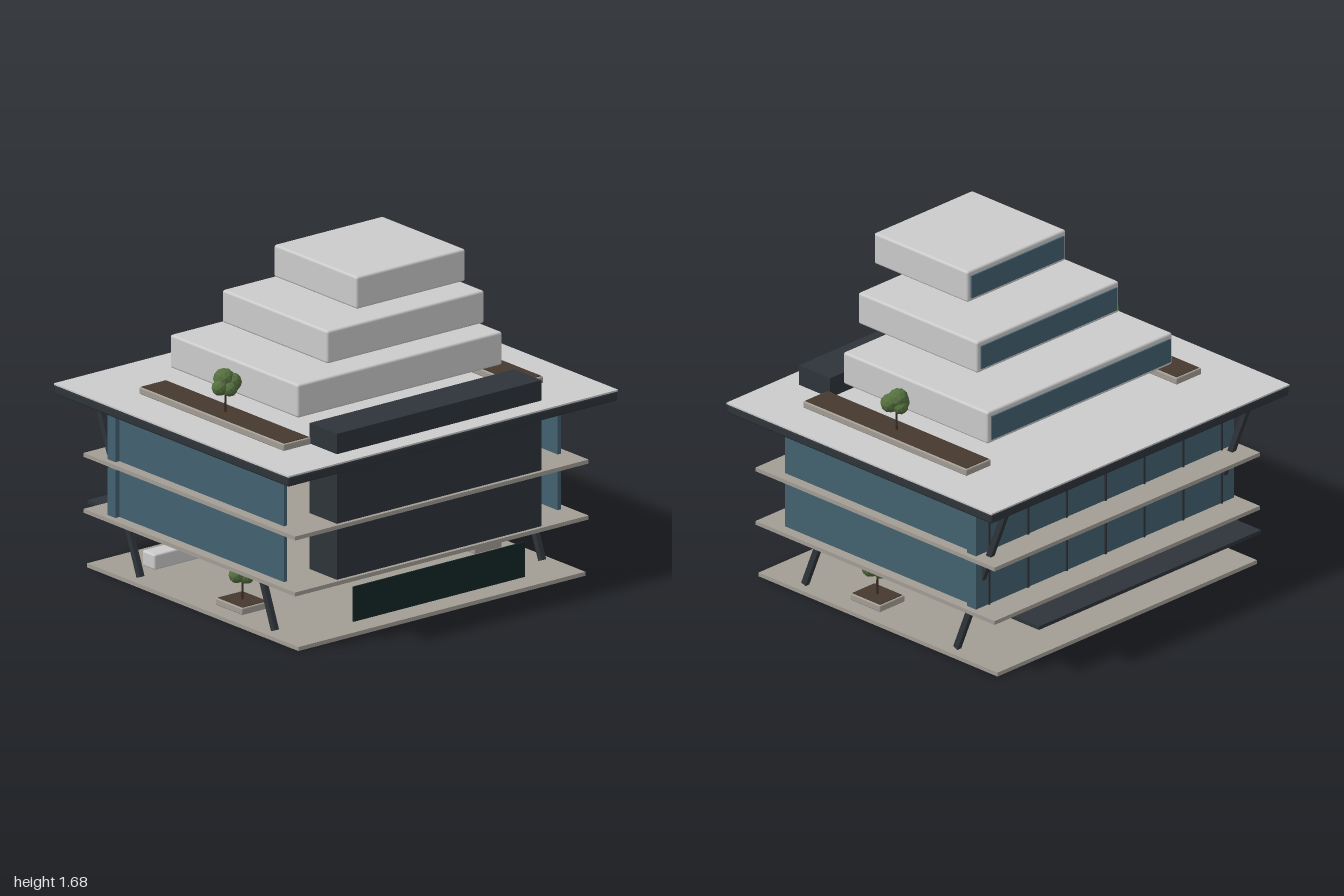
import * as THREE from 'three';
import { RoundedBoxGeometry } from 'three/addons/geometries/RoundedBoxGeometry.js';

const mat = (color, flatShading = false) => new THREE.MeshStandardMaterial({ color, flatShading });

export function createModel() {
  const model = new THREE.Group();
  model.name = 'building';

  const light = mat(0xcccccc);
  const slab = mat(0xa39d94);
  const dark = mat(0x2e343a);
  const glass = mat(0x436170);
  const screen = mat(0x142626);
  const soil = mat(0x46392f);
  const trunkMat = mat(0x3b2f26);
  const leaf = mat(0x55703f, true);

  // Box given by its extents; a radius rounds the edges
  function block(name, material, [x0, x1], [y0, y1], [z0, z1], radius = 0, parent = model) {
    const size = [x1 - x0, y1 - y0, z1 - z0];
    const geometry = radius
      ? new RoundedBoxGeometry(...size, 3, radius)
      : new THREE.BoxGeometry(...size);
    const mesh = new THREE.Mesh(geometry, material);
    mesh.name = name;
    mesh.position.set((x0 + x1) / 2, (y0 + y1) / 2, (z0 + z1) / 2);
    parent.add(mesh);
    return mesh;
  }

  // Ground plate and floor slabs
  block('groundSlab', slab, [-0.87, 0.87], [0, 0.02], [-0.755, 0.82]);
  for (const y of [0.275, 0.553, 0.84]) {
    block('floorSlab', slab, [-0.89, 0.89], [y, y + 0.02], [-0.755, 0.82]);
  }

  // Roof: dark fascia with a pale deck
  block('roofFascia', dark, [-1, 1], [0.863, 0.914], [-0.843, 0.905], 0.012);
  block('roofDeck', light, [-1, 1], [0.911, 0.919], [-0.843, 0.905]);

  // Solid core at the front
  block('frontCore', dark, [-0.62, 0.62], [0.295, 1.02], [0.595, 0.8]);

  // Glazing of the two upper storeys
  for (const [y0, y1] of [[0.298, 0.533], [0.575, 0.813]]) {
    block('rearGlazing', glass, [-0.865, 0.865], [y0, y1], [-0.608, -0.55]);
    for (const s of [-1, 1]) {
      const x = s * 0.83;
      block('sideGlazing', glass, [x - 0.01, x + 0.01], [y0, y1], [-0.55, 0.675]);
    }
    for (let i = -3; i <= 3; i++) {
      block('mullion', dark, [i * 0.26 - 0.005, i * 0.26 + 0.005], [y0, y1], [-0.616, -0.606]);
    }
  }

  // Raking columns, leaning backwards from the ground to the roof
  const rise = 0.82, lean = -0.325;
  for (const x of [-0.81, 0.81]) {
    for (const z of [0.572, -0.43]) {
      const column = new THREE.Mesh(
        new THREE.BoxGeometry(0.026, Math.hypot(rise, lean), 0.03), dark);
      column.name = 'rakingColumn';
      column.position.set(x, 0.025 + rise / 2, z + lean / 2);
      column.rotation.x = Math.atan2(lean, rise);
      model.add(column);
    }
  }

  // Ground floor: front screen, rear entrance canopy and bench
  block('frontScreen', screen, [-0.52, 0.52], [0.065, 0.238], [0.793, 0.801]);
  block('entranceCanopy', dark, [-0.745, 0.745], [0.25, 0.268], [-0.905, -0.65]);
  block('bench', light, [-0.7, -0.295], [0.025, 0.102], [-0.555, -0.46], 0.01);

  // Stepped floating volumes with a glazed rear face
  const tiers = [
    [0.62, 1.02, 1.185, -0.445, 0.51],
    [0.476, 1.27, 1.432, -0.235, 0.553],
    [0.33, 1.52, 1.68, -0.028, 0.592],
  ];
  for (const [w, y0, y1, z0, z1] of tiers) {
    block('terraceVolume', light, [-w, w], [y0, y1], [z0, z1], 0.012);
    block('terraceGlazing', glass, [-w + 0.02, w - 0.02], [y0 + 0.02, y1 - 0.025], [z0 - 0.008, z0 + 0.004]);
  }

  // Tree: slim trunk and a cluster of faceted crowns
  const crowns = [
    [0, 0.165, -0.01, 0.052],
    [0.032, 0.148, 0.012, 0.046],
    [-0.036, 0.132, 0.004, 0.04],
    [0.002, 0.125, 0.03, 0.038],
    [0.006, 0.135, -0.032, 0.038],
  ];
  function tree(x, y, z) {
    const group = new THREE.Group();
    group.name = 'tree';
    group.position.set(x, y, z);
    const trunk = new THREE.Mesh(new THREE.CylinderGeometry(0.004, 0.006, 0.13, 8), trunkMat);
    trunk.name = 'trunk';
    trunk.position.y = 0.065;
    group.add(trunk);
    for (const [cx, cy, cz, r] of crowns) {
      const crown = new THREE.Mesh(new THREE.IcosahedronGeometry(r, 1), leaf);
      crown.name = 'crown';
      crown.position.set(cx, cy, cz);
      group.add(crown);
    }
    model.add(group);
  }

  // Planters with soil and one tree each
  function planter(x, y, z0, z1, treeZ) {
    const group = new THREE.Group();
    group.name = 'planter';
    model.add(group);
    block('planterBox', slab, [x - 0.083, x + 0.083], [y, y + 0.034], [z0, z1], 0.006, group);
    block('soil', soil, [x - 0.074, x + 0.074], [y + 0.02, y + 0.037], [z0 + 0.009, z1 - 0.009], 0, group);
    tree(x, y + 0.034, treeZ);
  }
  for (const x of [-0.705, 0.705]) {
    planter(x, 0.022, 0.1, 0.3, 0.2);
    planter(x, 0.919, -0.47, 0.61, 0.073);
  }

  return model;
}
